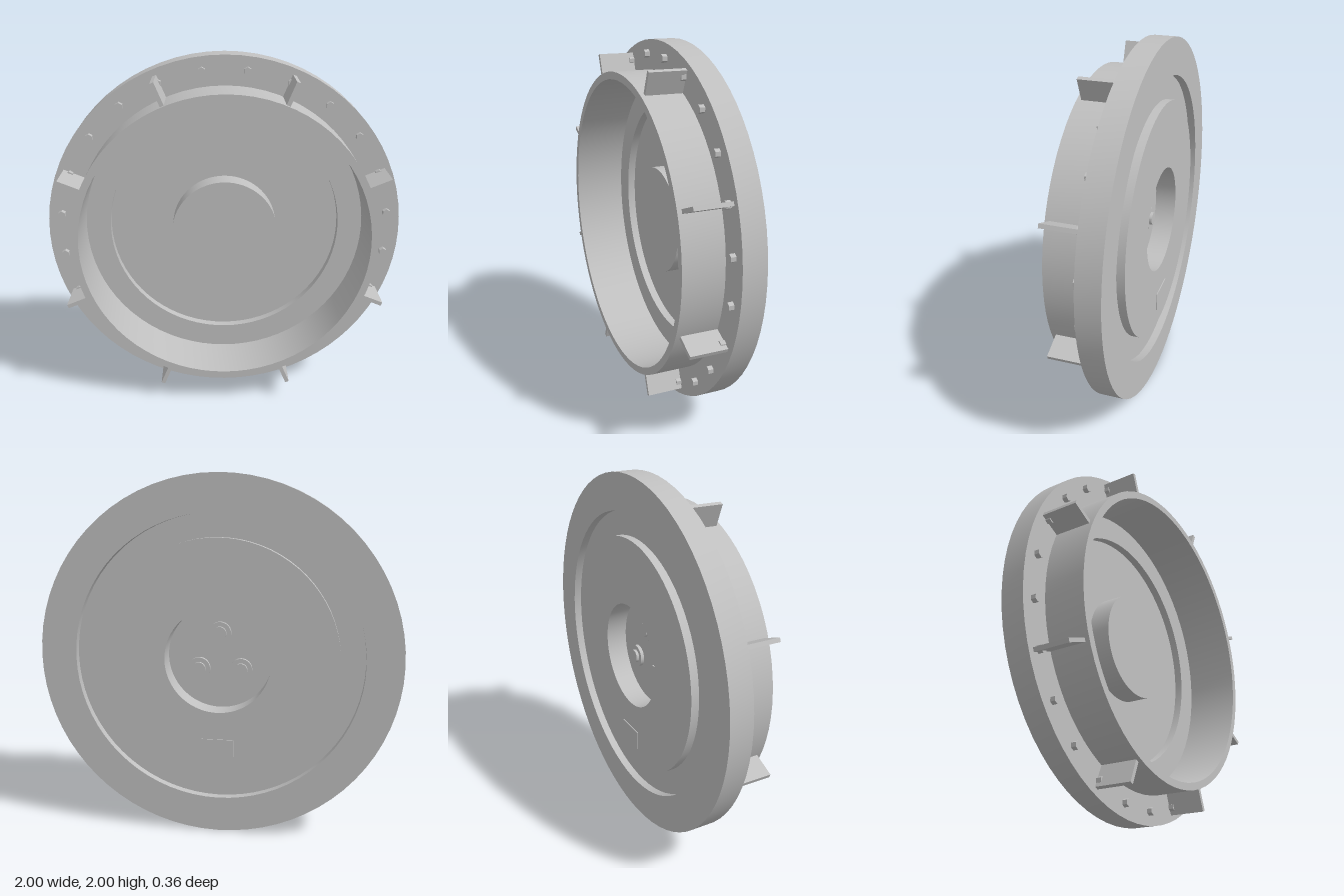
import * as THREE from 'three';
import { toCreasedNormals } from 'three/addons/utils/BufferGeometryUtils.js';

const metal = new THREE.MeshStandardMaterial({ color: 0xc0c0c0 });
metal.name = 'grey metal';

function add(parent, name, geometry, x = 0, y = 0, z = 0) {
  const mesh = new THREE.Mesh(geometry, metal);
  mesh.name = name;
  mesh.position.set(x, y, z);
  parent.add(mesh);
  return mesh;
}

// Cylinder whose axis runs along z
function disc(radius, depth, sides) {
  const g = new THREE.CylinderGeometry(radius, radius, depth, sides);
  g.rotateX(Math.PI / 2);
  return toCreasedNormals(g, 0.5);
}

export function createModel() {
  const model = new THREE.Group();
  model.name = 'flangedCover';
  const body = new THREE.Group();
  body.name = 'cover';
  body.position.y = 1;
  model.add(body);

  // Pressed cover: section as radius and depth, back face first, then the front
  const section = [
    [0, -0.055], [0.295, -0.055], [0.295, -0.174], [0.667, -0.174],
    [0.667, -0.13], [0.8, -0.13], [0.8, -0.174], [1, -0.174],
    [1, -0.045], [0.84, -0.045], [0.84, 0.179], [0.8, 0.179],
    [0.8, -0.12], [0.662, -0.12], [0.662, -0.165], [0.3, -0.165],
    [0.3, -0.045], [0, -0.045],
  ].map(([r, z]) => new THREE.Vector2(r, z));
  const shell = new THREE.LatheGeometry(section, 72);
  shell.rotateX(Math.PI / 2);
  add(body, 'shell', toCreasedNormals(shell, 0.5));

  // Hex bolts around the flange
  const boltHead = disc(0.022, 0.03, 6);
  for (let i = 0; i < 24; i++) {
    const a = THREE.MathUtils.degToRad(7.5 + i * 15);
    add(body, 'flangeBolt', boltHead, Math.cos(a) * 0.925, Math.sin(a) * 0.925, -0.032);
  }

  // Radial stiffening fins
  const fin = new THREE.BoxGeometry(0.132, 0.022, 0.2);
  for (let i = 0; i < 8; i++) {
    const a = Math.PI / 8 + (i * Math.PI) / 4;
    add(body, 'fin', fin, Math.cos(a) * 0.9, Math.sin(a) * 0.9, 0.055).rotation.z = a;
  }

  // Three studs with washers inside the rear hub pocket
  const washer = disc(0.062, 0.02, 32);
  const stud = disc(0.037, 0.04, 24);
  for (let i = 0; i < 3; i++) {
    const a = Math.PI / 2 + (i * Math.PI * 2) / 3;
    const x = Math.cos(a) * 0.137, y = Math.sin(a) * 0.137;
    add(body, 'hubWasher', washer, x, y, -0.064);
    add(body, 'hubStud', stud, x, y, -0.07);
  }

  // Small blank plate on the back
  add(body, 'backPlate', new THREE.BoxGeometry(0.18, 0.11, 0.008), 0, -0.505, -0.175);

  return model;
}
